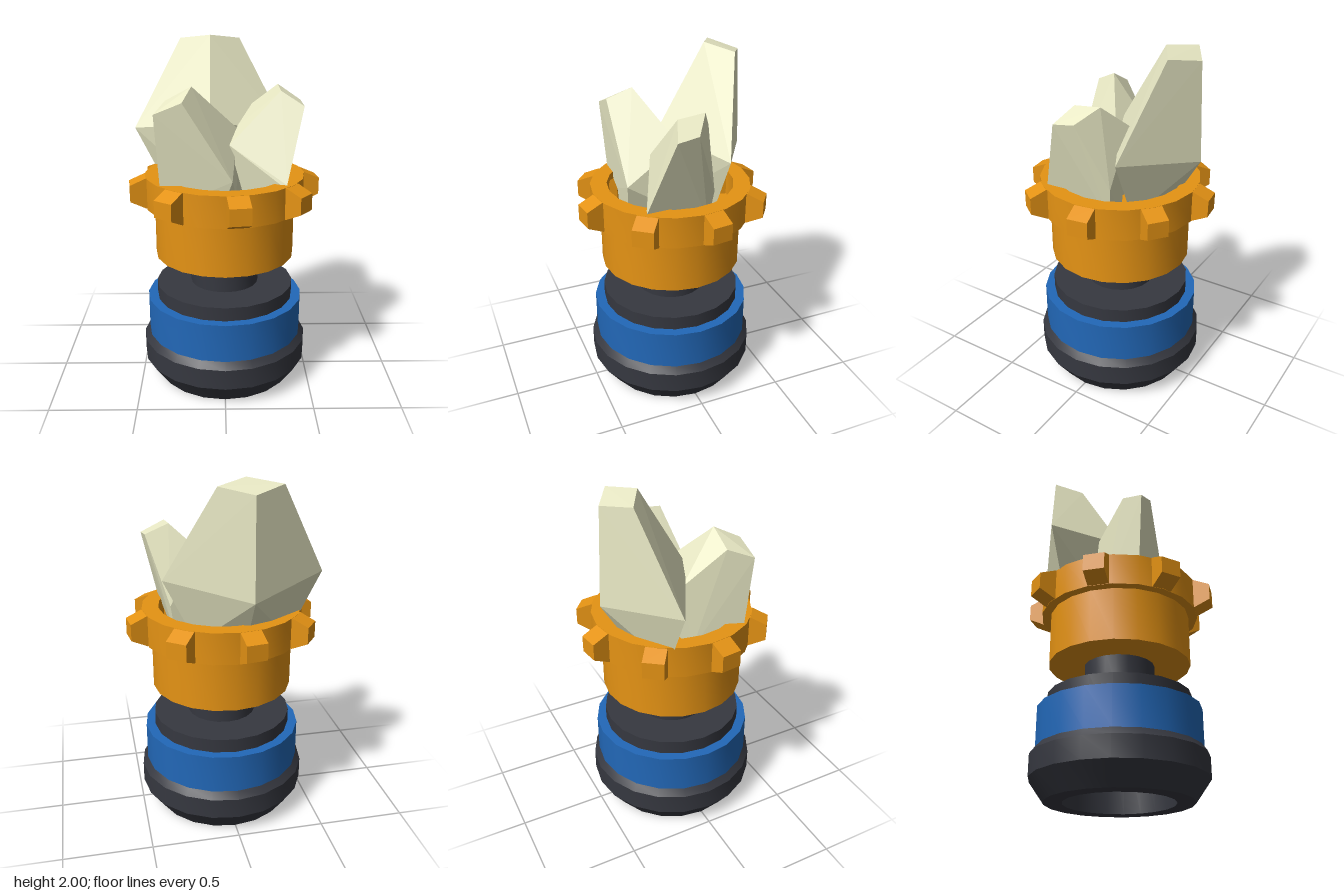
import * as THREE from 'three';
import { toCreasedNormals } from 'three/addons/utils/BufferGeometryUtils.js';
import { ConvexGeometry } from 'three/addons/geometries/ConvexGeometry.js';

const material = (color, flatShading = false) => new THREE.MeshStandardMaterial({ color, flatShading });
const dark = material(0x363840);
const blue = material(0x2268b8);
const orange = material(0xe59314);
const toothOrange = material(0xe59314, true);
const crystalPale = material(0xe8e8c4, true);

function add(parent, name, geometry, mat) {
  const mesh = new THREE.Mesh(geometry, mat);
  mesh.name = name;
  parent.add(mesh);
  return mesh;
}

// Turned part from a [radius, height] profile, with sharp profile corners
function turned(profile) {
  const points = profile.map(([r, y]) => new THREE.Vector2(r, y));
  return toCreasedNormals(new THREE.LatheGeometry(points, 20), 0.5);
}

const hull = (points) => new ConvexGeometry(points.map((p) => new THREE.Vector3(...p)));

export function createModel() {
  const model = new THREE.Group();
  model.name = 'crystalHolder';

  // Hollow foot, step and central post
  add(model, 'base', turned([
    [0, 0.5], [0.305, 0.5], [0.305, 0], [0.405, 0], [0.49, 0.12], [0.49, 0.24],
    [0.46, 0.28], [0.405, 0.28], [0.405, 0.585], [0.2, 0.585], [0.2, 0.78],
  ]), dark);

  // Coloured band round the base
  add(model, 'band', turned([[0.46, 0.28], [0.46, 0.505], [0.4, 0.505]]), blue);

  // Cup with a thick rim
  add(model, 'cup', turned([
    [0, 0.77], [0.405, 0.77], [0.405, 1.07], [0.457, 1.07], [0.457, 1.25],
    [0.362, 1.25], [0.362, 1.1], [0, 1.1],
  ]), orange);

  // Eight bevelled teeth outside the rim, each with a small wedge inside
  const profile = new THREE.Shape([
    [0.4, 1.072], [0.455, 1.072], [0.545, 1.115], [0.545, 1.21], [0.455, 1.249], [0.4, 1.249],
  ].map(([r, y]) => new THREE.Vector2(r, y)));
  const tooth = new THREE.ExtrudeGeometry(profile, { depth: 0.118, bevelEnabled: false });
  tooth.translate(0, 0, -0.059);
  const wedge = hull([-1, 1].flatMap((s) => [
    [0.37, 1.22, s * 0.047], [0.37, 1.09, s * 0.047],
    [0.313, 1.17, s * 0.026], [0.313, 1.09, s * 0.026],
  ]));
  for (let i = 0; i < 8; i++) {
    const pair = new THREE.Group();
    pair.name = 'rimTooth';
    pair.rotation.y = THREE.MathUtils.degToRad(8 + 45 * i);
    add(pair, 'outerTooth', tooth, toothOrange);
    add(pair, 'innerWedge', wedge, toothOrange);
    model.add(pair);
  }

  // Tall rear crystal: tip, waist and foot
  add(model, 'tallCrystal', hull([
    [-0.08, 2.0, -0.228], [-0.255, 1.975, -0.33], [0.09, 1.975, -0.33], [-0.08, 1.945, -0.435],
    [-0.525, 1.47, -0.195], [0.36, 1.47, -0.195], [-0.08, 1.4, -0.46], [-0.08, 1.54, 0.045],
    [-0.34, 1.1, -0.19], [0.18, 1.1, -0.19], [-0.08, 1.1, -0.28], [-0.08, 1.1, -0.02],
  ]), crystalPale);

  // Front right-hand crystal
  add(model, 'rightCrystal', hull([
    [-0.375, 1.64, 0.29], [-0.225, 1.7, 0.29], [-0.178, 1.765, 0.155], [-0.32, 1.69, 0.155],
    [0.04, 1.27, 0.27], [0.075, 1.5, -0.02], [-0.22, 1.48, -0.05],
    [-0.345, 1.1, 0.255], [-0.02, 1.1, 0.25], [0.07, 1.1, 0], [-0.25, 1.1, 0],
  ]), crystalPale);

  // Front left-hand crystal
  add(model, 'leftCrystal', hull([
    [0.3, 1.745, -0.07], [0.305, 1.73, 0.085], [0.43, 1.655, 0.135], [0.42, 1.67, 0.013],
    [0.025, 1.44, 0.13], [0.16, 1.62, -0.155], [0.075, 1.52, -0.02],
    [0.335, 1.25, 0.265], [0.3, 1.25, 0.255], [0.31, 1.3, -0.13],
    [0.28, 1.1, 0.2], [0.28, 1.1, -0.11], [0.12, 1.1, 0.13], [0.17, 1.1, -0.11],
  ]), crystalPale);

  return model;
}
